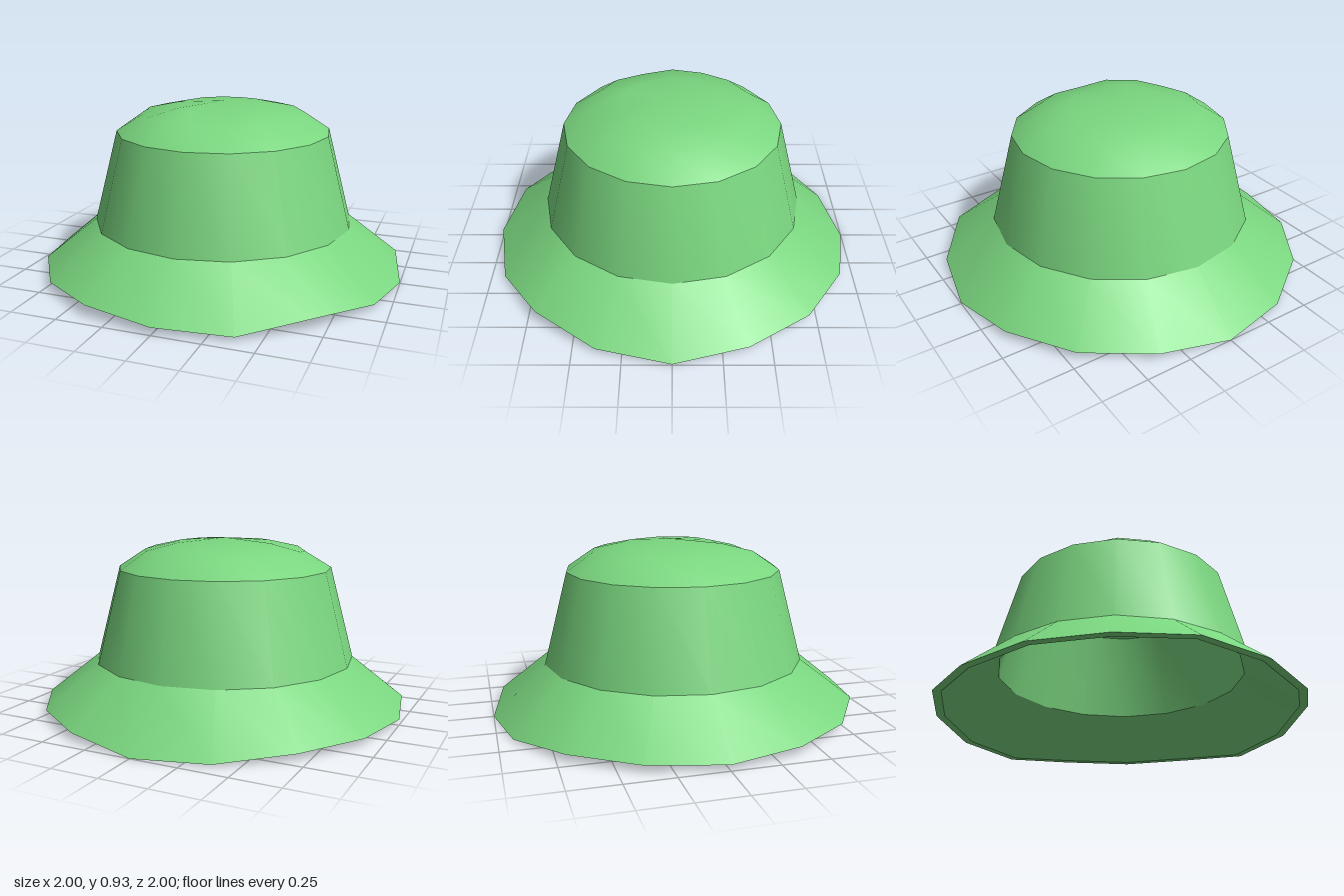
import * as THREE from 'three';
import { mergeVertices } from 'three/addons/utils/BufferGeometryUtils.js';

const SIDES = 16;
// Uneven height of the brim edge, from the front round through +x
const WAVE = [0.04, 0.02, 0.07, 0.03, 0.005, 0.045, 0.045, 0.04, 0, 0.01, 0.04, 0.04, 0.03, 0.045, 0.045, 0.06];
// Soft dents in the top panel, in the same order
const DENT = [0.022, 0.008, 0, 0, 0, 0.004, 0, 0, 0, 0, 0, 0.004, 0, 0.012, 0, 0];

// Smooth band through rings of [radius, y or y(side)]; the skin faces out when listed downwards
function band(name, rings, material) {
  const positions = [], index = [];
  for (const [r, y] of rings) {
    for (let j = 0; j < SIDES; j++) {
      const a = (j / SIDES) * Math.PI * 2;
      positions.push(r * Math.sin(a), typeof y === 'function' ? y(j) : y, r * Math.cos(a));
    }
  }
  for (let i = 0; i < rings.length - 1; i++) {
    for (let j = 0; j < SIDES; j++) {
      const k = (j + 1) % SIDES;
      const a = i * SIDES + j, b = i * SIDES + k, c = a + SIDES, d = b + SIDES;
      if (rings[i + 1][0] > 0) index.push(a, c, d);
      if (rings[i][0] > 0) index.push(a, d, b);
    }
  }
  let geometry = new THREE.BufferGeometry();
  geometry.setAttribute('position', new THREE.Float32BufferAttribute(positions, 3));
  geometry.setIndex(index);
  geometry = mergeVertices(geometry, 1e-5);
  geometry.computeVertexNormals();
  const mesh = new THREE.Mesh(geometry, material);
  mesh.name = name;
  return mesh;
}

export function createModel() {
  const hat = new THREE.Group();
  hat.name = 'bucketHat';
  const cloth = new THREE.MeshStandardMaterial({ color: 0x7ad67f });
  cloth.name = 'green cloth';

  const edge = (j) => WAVE[j];
  const dented = (y, amount) => (j) => y - DENT[j] * amount;

  // Outside skin
  hat.add(band('topPanel', [[0, 0.93], [0.27, dented(0.908, 0.7)], [0.44, dented(0.87, 1)], [0.585, 0.77]], cloth));
  hat.add(band('crownWall', [[0.585, 0.77], [0.715, 0.27]], cloth));
  hat.add(band('brimTop', [[0.715, 0.27], [1, edge]], cloth));

  // Narrow edge of the brim
  hat.add(band('brimEdge', [[1, edge], [0.955, edge]], cloth));

  // Inside skin
  hat.add(band('brimUnderside', [[0.955, edge], [0.675, 0.26]], cloth));
  hat.add(band('crownLining', [[0.675, 0.26], [0.55, 0.74]], cloth));
  hat.add(band('topLining', [[0.55, 0.74], [0.42, dented(0.83, 1)], [0.26, dented(0.868, 0.7)], [0, 0.89]], cloth));

  return hat;
}
